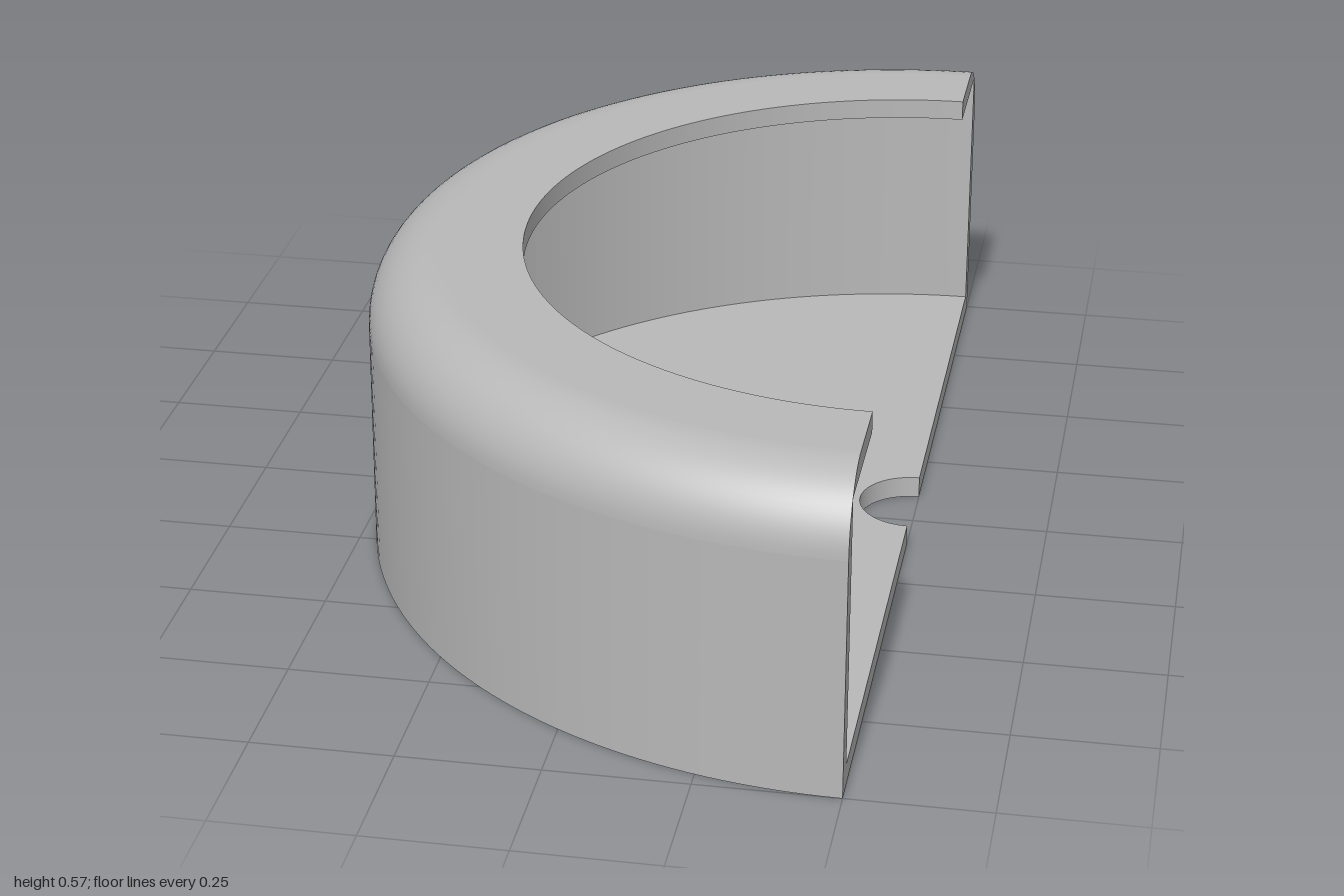
import * as THREE from 'three';
import { mergeGeometries } from 'three/addons/utils/BufferGeometryUtils.js';

const HEIGHT = 0.566, FLOOR = 0.04, CEILING = 0.528;
const OUTER = 1, INNER = 0.96, OPENING = 0.72, HOLE = 0.1, FILLET = 0.13;

// Outer wall, rounded shoulder and top rim as one smooth run of (radius, height)
function shellProfile() {
  const pts = [[OUTER, 0]];
  for (let i = 0; i <= 16; i++) {
    const a = (i / 16) * Math.PI / 2;
    pts.push([OUTER - FILLET + FILLET * Math.cos(a), HEIGHT - FILLET + FILLET * Math.sin(a)]);
  }
  pts.push([OPENING, HEIGHT]);
  return pts;
}

// Half turn around the axis, on the -x side
function halfTurn(pts) {
  const v = pts.map(([r, y]) => new THREE.Vector2(r, y));
  return new THREE.LatheGeometry(v, 96, Math.PI, Math.PI);
}

export function createModel() {
  const grey = new THREE.MeshStandardMaterial({ color: 0xb8b8b8 });
  grey.name = 'grey';
  const group = new THREE.Group();
  group.name = 'halfHousing';

  const add = (name, geometry) => {
    const mesh = new THREE.Mesh(geometry, grey);
    mesh.name = name;
    mesh.position.x = 0.5;
    group.add(mesh);
  };

  // Rounded outside; straight runs are split so the shoulder alone is smooth
  const shell = shellProfile();
  add('outerShell', mergeGeometries([
    halfTurn(shell.slice(0, 2)),
    halfTurn(shell.slice(1, -1)),
    halfTurn(shell.slice(-2)),
  ]));

  // Sharp-edged surfaces, one band each
  add('openingEdge', halfTurn([[OPENING, HEIGHT], [OPENING, CEILING]]));
  add('rimUnderside', halfTurn([[OPENING, CEILING], [INNER, CEILING]]));
  add('innerWall', halfTurn([[INNER, CEILING], [INNER, FLOOR]]));
  add('floorTop', halfTurn([[INNER, FLOOR], [HOLE, FLOOR]]));
  add('holeEdge', halfTurn([[HOLE, FLOOR], [HOLE, 0]]));
  add('base', halfTurn([[HOLE, 0], [OUTER, 0]]));

  // Flat cut faces closing the section at both ends, facing +x
  const section = [[HOLE, 0], ...shell, [OPENING, CEILING], [INNER, CEILING], [INNER, FLOOR], [HOLE, FLOOR]];
  for (const [name, side] of [['backCutFace', 1], ['frontCutFace', -1]]) {
    const shape = new THREE.Shape(section.map(([r, y]) => new THREE.Vector2(side * r, y)));
    add(name, new THREE.ShapeGeometry(shape).rotateY(Math.PI / 2));
  }

  return group;
}
